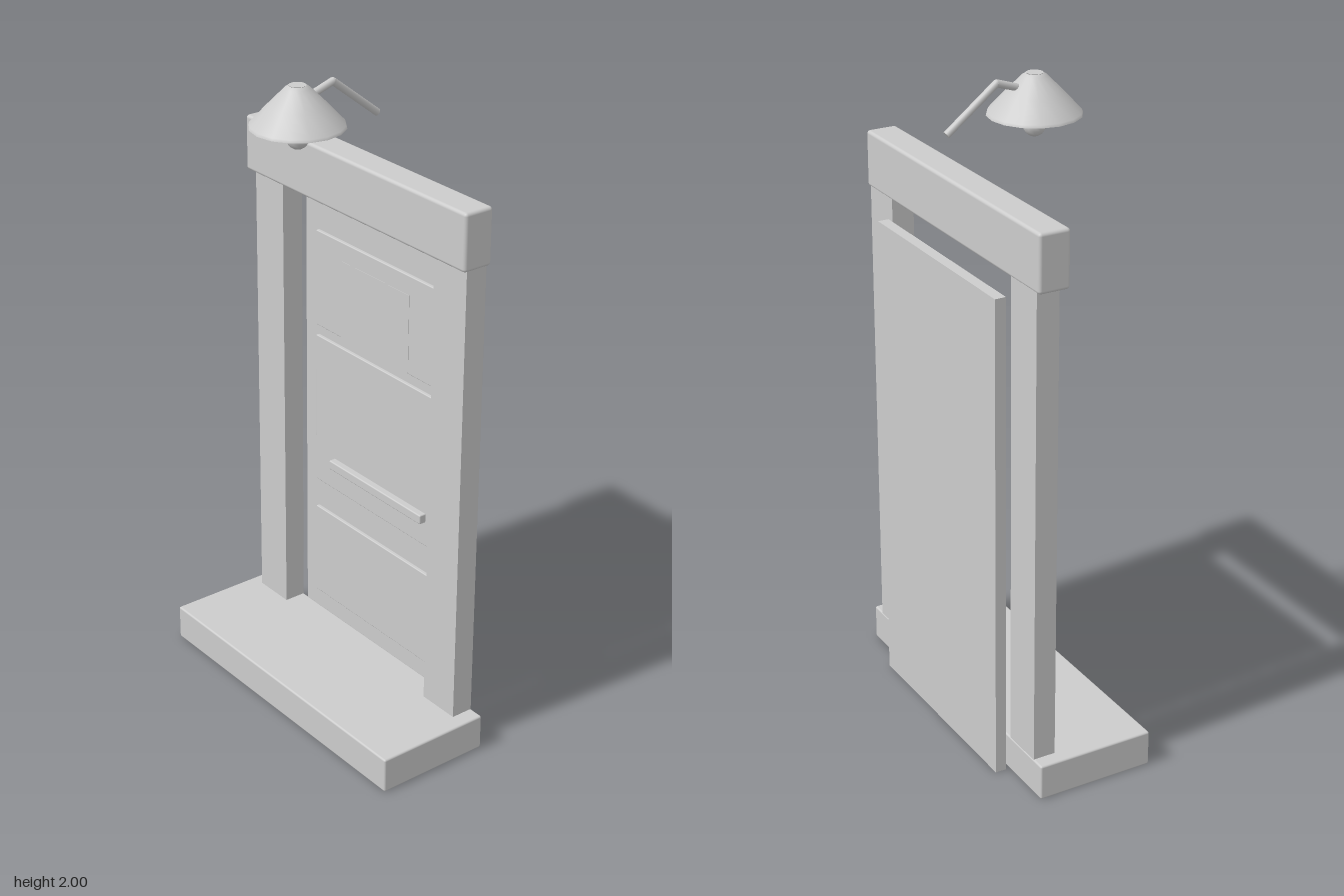
import * as THREE from 'three';
import { RoundedBoxGeometry } from 'three/addons/geometries/RoundedBoxGeometry.js';

export function createModel() {
  const group = new THREE.Group();
  const grey = new THREE.MeshStandardMaterial({ color: 0xcccccc, side: THREE.DoubleSide });
  grey.name = 'light grey';

  const add = (name, geometry) => {
    const mesh = new THREE.Mesh(geometry, grey);
    mesh.name = name;
    group.add(mesh);
    return mesh;
  };
  // Box given by its limits on each axis, with optional softened edges
  const box = (name, [x0, x1], [y0, y1], [z0, z1], radius = 0) => {
    const size = [x1 - x0, y1 - y0, z1 - z0];
    const geometry = radius ? new RoundedBoxGeometry(...size, 2, radius) : new THREE.BoxGeometry(...size);
    add(name, geometry).position.set((x0 + x1) / 2, (y0 + y1) / 2, (z0 + z1) / 2);
  };

  // Frame: step, posts and lintel
  box('step', [-0.53, 0.53], [0, 0.112], [-0.187, 0.185], 0.006);
  box('rightPost', [-0.485, -0.35], [0.105, 1.57], [-0.185, -0.115]);
  box('leftPost', [0.345, 0.482], [0.105, 1.57], [-0.185, -0.115]);
  box('lintel', [-0.5, 0.5], [1.565, 1.737], [-0.187, -0.09], 0.01);

  // Door slab with three raised panels
  box('door', [-0.345, 0.345], [0, 1.51], [-0.232, -0.198]);
  const panels = { lowerPanel: [0.163, 0.472], middlePanel: [0.57, 1.07], upperPanel: [1.105, 1.415] };
  for (const [name, y] of Object.entries(panels)) {
    box(name, [-0.283, 0.283], y, [-0.2, -0.187], 0.003);
  }
  box('windowPane', [-0.157, 0.157], [1.107, 1.355], [-0.189, -0.186]);
  box('handleBar', [-0.19, 0.25], [0.65, 0.68], [-0.19, -0.165], 0.004);

  // Lamp: open shade with a flat cap, bulb underneath
  const lampZ = 0.091;
  const v2 = (x, y) => new THREE.Vector2(x, y);
  add('lampShade', new THREE.LatheGeometry(
    [v2(0.137, 1.88), v2(0.134, 1.888), v2(0.085, 1.941), v2(0.036, 1.991), v2(0.025, 1.998)], 16,
  )).position.z = lampZ;
  const cap = add('lampCap', new THREE.CircleGeometry(0.025, 16));
  cap.rotation.x = -Math.PI / 2;
  cap.position.set(0, 1.999, lampZ);
  add('bulb', new THREE.SphereGeometry(0.034, 12, 8)).position.set(0, 1.849, lampZ);
  add('bulbSocket', new THREE.CylinderGeometry(0.02, 0.02, 0.1, 12)).position.set(0, 1.925, lampZ);

  // Bent arm running back from the shade
  const bends = [[1.962, 0.04], [1.985, -0.03], [1.862, -0.188]].map(([y, z]) => new THREE.Vector3(0, y, z));
  const up = new THREE.Vector3(0, 1, 0);
  for (let i = 0; i < 2; i++) {
    const along = bends[i + 1].clone().sub(bends[i]);
    const rod = add('lampArm', new THREE.CylinderGeometry(0.011, 0.011, along.length(), 10));
    rod.position.copy(bends[i]).addScaledVector(along, 0.5);
    rod.quaternion.setFromUnitVectors(up, along.normalize());
  }
  add('lampArmJoint', new THREE.SphereGeometry(0.011, 10, 8)).position.copy(bends[1]);

  return group;
}
